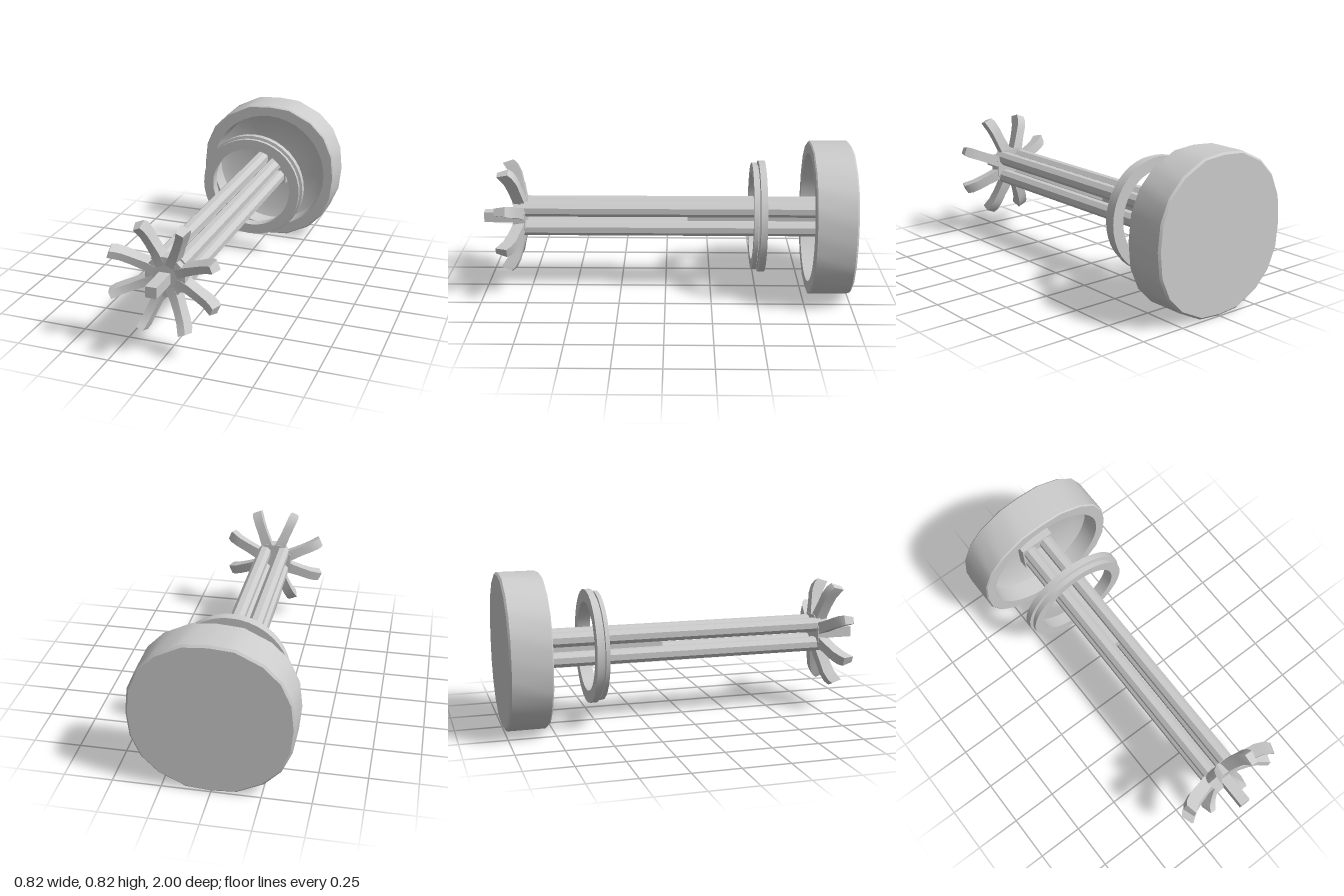
import * as THREE from 'three';
import { toCreasedNormals } from 'three/addons/utils/BufferGeometryUtils.js';

const material = new THREE.MeshStandardMaterial({ color: 0xcccccc });
const AXIS_Y = 0.407;

// Skin a list of equal-length cross-sections and close both ends with fans.
function loft(sections, crease) {
  const pos = [];
  const tri = (...pts) => pts.forEach((p) => pos.push(p.x, p.y, p.z));
  const centre = (s) => s.reduce((c, p) => c.add(p), new THREE.Vector3()).divideScalar(s.length);
  const n = sections[0].length;
  const last = sections[sections.length - 1];
  const c0 = centre(sections[0]), c1 = centre(last);
  for (let j = 0; j < n; j++) {
    const k = (j + 1) % n;
    for (let i = 0; i < sections.length - 1; i++) {
      const a = sections[i], b = sections[i + 1];
      tri(a[j], a[k], b[k]);
      tri(a[j], b[k], b[j]);
    }
    tri(c0, sections[0][k], sections[0][j]);
    tri(c1, last[j], last[k]);
  }
  const g = new THREE.BufferGeometry();
  g.setAttribute('position', new THREE.Float32BufferAttribute(pos, 3));
  return toCreasedNormals(g, crease);
}

function add(parent, name, geometry, x = 0, y = 0, z = 0) {
  const mesh = new THREE.Mesh(geometry, material);
  mesh.name = name;
  mesh.position.set(x, y, z);
  parent.add(mesh);
  return mesh;
}

// Prism or bar along z between two depths
function barZ(radius, sides, z0, z1, turn) {
  const g = new THREE.CylinderGeometry(radius, radius, z1 - z0, sides);
  g.rotateY(turn).rotateX(Math.PI / 2).translate(0, 0, (z0 + z1) / 2);
  return toCreasedNormals(g.toNonIndexed(), 0.5);
}

// Faceted, slightly squarish cap with a round recess in its front
function capGeometry() {
  const quarter = [[0.412, 0], [0.398, 0.135], [0.347, 0.25], [0.262, 0.336], [0.127, 0.402]];
  const corners = [];
  for (let q = 0; q < 4; q++) {
    for (const [x, y] of q % 2 ? [[0.412, 0], ...quarter.slice(1).reverse().map(([a, b]) => [b, a])] : quarter) {
      corners.push(new THREE.Vector2(x, y).rotateAround(new THREE.Vector2(), q * Math.PI / 2));
    }
  }
  // Halve each side so the inner circle is rounder than the outline.
  const outline = corners.flatMap((p, i) => [p, p.clone().lerp(corners[(i + 1) % corners.length], 0.5)]);
  const outer = (scale, z) => outline.map((p) => new THREE.Vector3(p.x * scale, p.y * scale, z));
  const inner = (r, z) => outline.map((p) => {
    const a = Math.atan2(p.y, p.x);
    return new THREE.Vector3(r * Math.cos(a), r * Math.sin(a), z);
  });
  return loft([
    outer(0.975, -1), outer(1, -0.99), outer(1, -0.787), outer(0.985, -0.78),
    inner(0.352, -0.78), inner(0.342, -0.88), inner(0.28, -0.905),
  ], 0.45);
}

// Tapered claw that sweeps outward and curls forward
function armGeometry() {
  // back radius, back z, front radius, front z, half width
  const stations = [
    [0.06, 0.765, 0.06, 0.83, 0.034],
    [0.12, 0.77, 0.12, 0.835, 0.031],
    [0.18, 0.785, 0.18, 0.85, 0.028],
    [0.24, 0.798, 0.235, 0.868, 0.028],
    [0.285, 0.82, 0.27, 0.89, 0.029],
    [0.306, 0.842, 0.287, 0.903, 0.026],
  ];
  return loft(stations.map(([rb, zb, rf, zf, w]) => [
    new THREE.Vector3(rb, -w, zb), new THREE.Vector3(rb, w, zb),
    new THREE.Vector3(rf, w * 0.72, zf), new THREE.Vector3(rf, -w * 0.72, zf),
  ]), 0.5);
}

export function createModel() {
  const model = new THREE.Group();
  add(model, 'cap', capGeometry(), 0, AXIS_Y, 0);

  const shaft = new THREE.Group();
  shaft.name = 'shaft';
  shaft.position.set(-0.008, AXIS_Y + 0.002, 0);
  model.add(shaft);

  // Four parallel rods, with a short core between them near the cap
  const rod = barZ(0.041, 8, -0.92, 0.79, Math.PI / 8);
  for (const sx of [-1, 1]) for (const sy of [-1, 1]) add(shaft, 'rod', rod, sx * 0.054, sy * 0.054, 0);
  add(shaft, 'core', new THREE.BoxGeometry(0.055, 0.055, 0.8), 0, 0, -0.52);
  add(shaft, 'rodSocket', new THREE.BoxGeometry(0.2, 0.2, 0.07), 0, 0, -0.885);

  // Loose sliding ring with a groove around its rim
  const ringProfile = [
    [0.24, -0.54], [0.306, -0.54], [0.306, -0.505], [0.285, -0.502],
    [0.285, -0.495], [0.294, -0.492], [0.294, -0.47], [0.236, -0.47], [0.24, -0.54],
  ].map(([r, z]) => new THREE.Vector2(r, -z)).reverse();
  const ringGeometry = new THREE.LatheGeometry(ringProfile, 40).rotateX(-Math.PI / 2);
  add(shaft, 'slidingRing', toCreasedNormals(ringGeometry.toNonIndexed(), 0.5));

  // Eight-armed star head with a square peg
  const head = new THREE.Group();
  head.name = 'starHead';
  shaft.add(head);
  add(head, 'hub', barZ(0.114, 8, 0.765, 0.83, Math.PI / 8));
  const arm = armGeometry();
  for (let i = 0; i < 8; i++) add(head, 'arm', arm).rotation.z = (i + 0.5) * Math.PI / 4;
  add(head, 'peg', new THREE.BoxGeometry(0.058, 0.058, 0.2), 0, -0.004, 0.9);

  return model;
}
